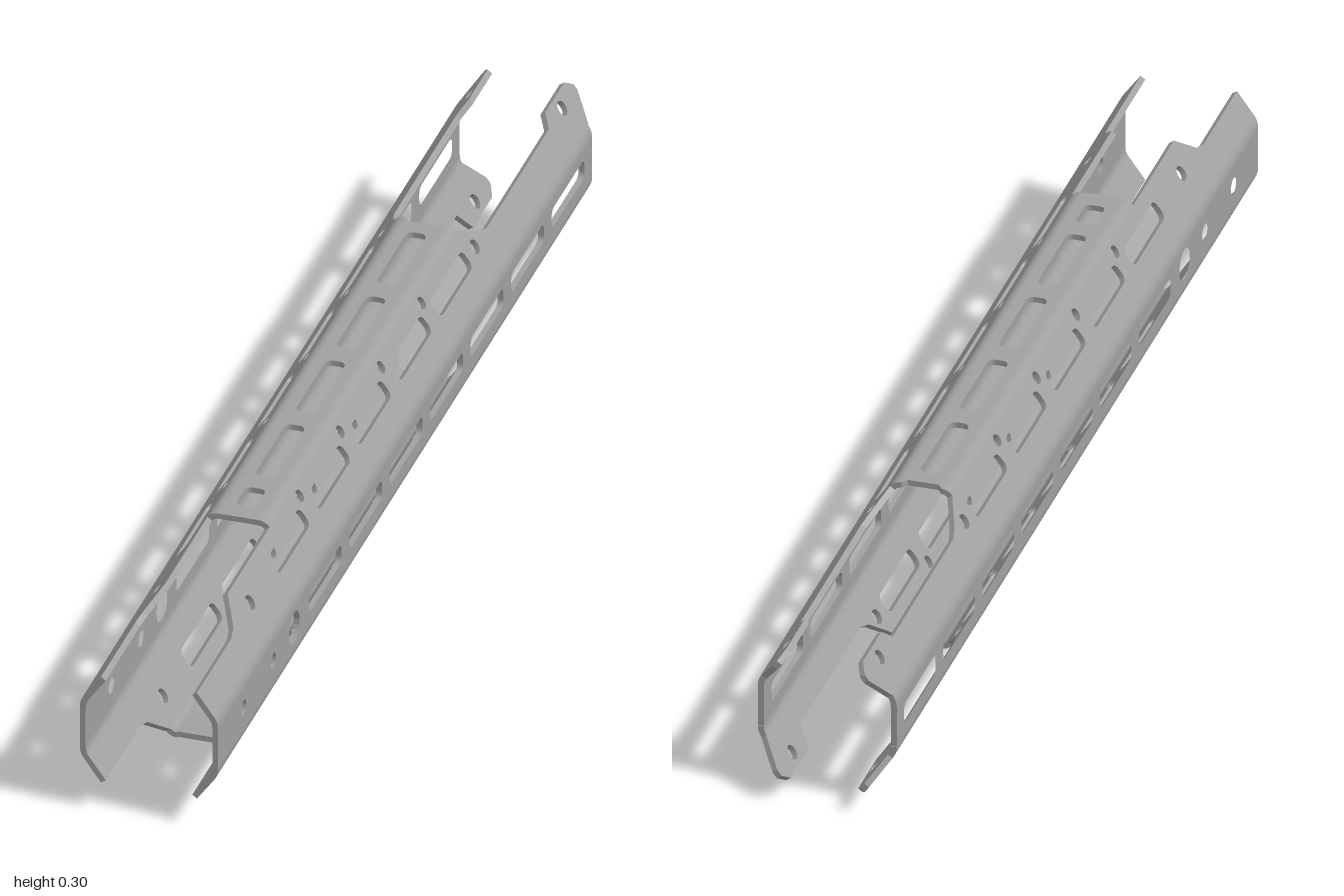
import * as THREE from 'three';

const T = 0.01;      // wall thickness
const TRIM = 0.012;  // length of each flat given over to the rounded bend

// outer corners of the octagonal section, counter-clockwise
const CORNERS = [
  [0.118, 0.1], [0.118, 0.2], [0.046, 0.3], [-0.046, 0.3],
  [-0.118, 0.2], [-0.118, 0.1], [-0.046, 0], [0.046, 0],
].map(([x, y]) => new THREE.Vector2(x, y));

const corner = k => CORNERS[(k + 8) % 8];
const along = k => corner(k + 1).clone().sub(corner(k)).normalize();
const outward = k => { const d = along(k); return new THREE.Vector2(d.y, -d.x); };
const SLANT = corner(1).distanceTo(corner(2));

// rounded rectangle outline; a circle when w = l = 2r
function opening(u, z, w, l, r) {
  const pts = [];
  for (let q = 0; q < 4; q++) {
    const cx = u + (q === 0 || q === 3 ? 1 : -1) * (w / 2 - r);
    const cz = z + (q < 2 ? 1 : -1) * (l / 2 - r);
    for (let i = 0; i <= 5; i++) {
      const a = (q + i / 5) * Math.PI / 2;
      if (i === 5 && w === 2 * r && l === 2 * r) continue;
      pts.push([cx + r * Math.cos(a), cz + r * Math.sin(a)]);
    }
  }
  return pts;
}
const round = (u, z, r) => opening(u, z, 2 * r, 2 * r, r);

// repeated slots along z
function slots(count, u, first, pitch, w, l) {
  return Array.from({ length: count }, (_, i) => opening(u, first - i * pitch, w, l, 0.012));
}

// flat plate on section edge k, drawn in (distance along edge, z)
function plate(k, outline, holes, flip) {
  const len = corner(k).distanceTo(corner(k + 1));
  const vec = pts => pts.map(([u, z]) => new THREE.Vector2(flip ? len - u : u, z));
  const shape = new THREE.Shape(vec(outline));
  shape.holes = holes.map(h => new THREE.Path(vec(h)));
  const geo = new THREE.ExtrudeGeometry(shape, { depth: T, bevelEnabled: false });
  const d = along(k), n = outward(k), c = corner(k);
  const basis = new THREE.Matrix4().makeBasis(
    new THREE.Vector3(d.x, d.y, 0), new THREE.Vector3(0, 0, 1), new THREE.Vector3(n.x, n.y, 0));
  basis.setPosition(c.x - n.x * T, c.y - n.y * T, 0);
  return geo.applyMatrix4(basis);
}

// curved strip joining two plates at corner k
function bend(k, zBack, zFront) {
  const c = corner(k), n0 = outward(k - 1), n1 = outward(k);
  const a = c.clone().addScaledVector(along(k - 1), -TRIM);
  const b = c.clone().addScaledVector(along(k), TRIM);
  const miter = n0.clone().add(n1).multiplyScalar(-T / (1 + n0.dot(n1)));
  const outer = new THREE.QuadraticBezierCurve(a, c, b);
  const inner = new THREE.QuadraticBezierCurve(
    a.clone().addScaledVector(n0, -T), c.clone().add(miter), b.clone().addScaledVector(n1, -T));
  const geo = new THREE.BoxGeometry(1, 1, 1, 5, 1, 1);
  const p = geo.attributes.position;
  for (let i = 0; i < p.count; i++) {
    const q = (p.getZ(i) > 0 ? outer : inner).getPoint(p.getX(i) + 0.5);
    p.setXYZ(i, q.x, q.y, p.getY(i) > 0 ? zFront : zBack);
  }
  geo.computeVertexNormals();
  return geo;
}

// sloping plate outline; fork is the height of the rear cut-out edge
function slantOutline(fork) {
  const L = SLANT, top = L - TRIM;
  return [
    [TRIM, 1], [0.5 * L, 1], [0.5 * L, 0.82], [0.56 * L, 0.795], [top, 0.75],
    [top, -0.455], [(fork + 0.08) * L, -0.505], [fork * L, -0.53], [fork * L, -0.86],
    [0.73 * L, -0.88], [0.73 * L, -0.98], [0.6 * L, -1], [0.5 * L, -1], [TRIM, -0.967],
  ];
}

export function createModel() {
  const group = new THREE.Group();
  const metal = new THREE.MeshStandardMaterial({ color: 0xa0a0a0 });
  metal.name = 'grey metal';
  const add = (name, geo) => {
    const mesh = new THREE.Mesh(geo, metal);
    mesh.name = name;
    group.add(mesh);
  };

  // upright side plates
  const sideHoles = [
    ...slots(7, 0.052, 0.438, 0.2127, 0.036, 0.172),
    round(0.052, 0.866, 0.014), round(0.052, 0.71, 0.014), round(0.052, 0.6, 0.028),
  ];
  const sideOutline = [[TRIM, -0.963], [0.1 - TRIM, -0.963], [0.1 - TRIM, 1], [TRIM, 1]];
  add('leftSidePlate', plate(0, sideOutline, sideHoles, false));
  add('rightSidePlate', plate(4, sideOutline.map(([u, z]) => [0.1 - u, z]),
    sideHoles.map(h => h.map(([u, z]) => [0.1 - u, z])), false));

  // sloping plates with slots and round holes
  const slantHoles = [
    ...slots(5, 0.55 * SLANT, 0.507, 0.2135, 0.034, 0.17),
    ...[0.4, 0.187, -0.027, -0.24].map(z => round(0.77 * SLANT, z, 0.011)),
    ...[0.71, -0.47, -0.93].map(z => round(0.55 * SLANT, z, 0.013)),
  ];
  add('upperLeftPlate', plate(1, slantOutline(0.55), slantHoles, false));
  add('upperRightPlate', plate(3, slantOutline(0.55), slantHoles, true));
  add('lowerRightPlate', plate(5, slantOutline(0.43), slantHoles, false));
  add('lowerLeftPlate', plate(7, slantOutline(0.43), slantHoles, true));

  // top and bottom plates
  const flat = (zBack, zFront) =>
    [[TRIM, zBack - 0.01], [0.02, zBack], [0.072, zBack], [0.092 - TRIM, zBack - 0.01],
      [0.092 - TRIM, zFront], [TRIM, zFront]];
  const flatSlots = slots(4, 0.046, 0.311, 0.2125, 0.034, 0.17);
  add('topPlate', plate(2, flat(-0.443, 0.53), [...flatSlots, opening(0.046, 0.465, 0.034, 0.06, 0.01)], false));
  add('bottomPlate', plate(6, flat(-0.443, 0.745), [...flatSlots, opening(0.046, 0.523, 0.034, 0.17, 0.012)], false));

  // rounded bends between the plates
  [0, 1, 4, 5].forEach(k => add('sideBend', bend(k, -0.965, 1)));
  [2, 3].forEach(k => add('topBend', bend(k, -0.454, 0.53)));
  [6, 7].forEach(k => add('bottomBend', bend(k, -0.454, 0.748)));

  return group;
}
